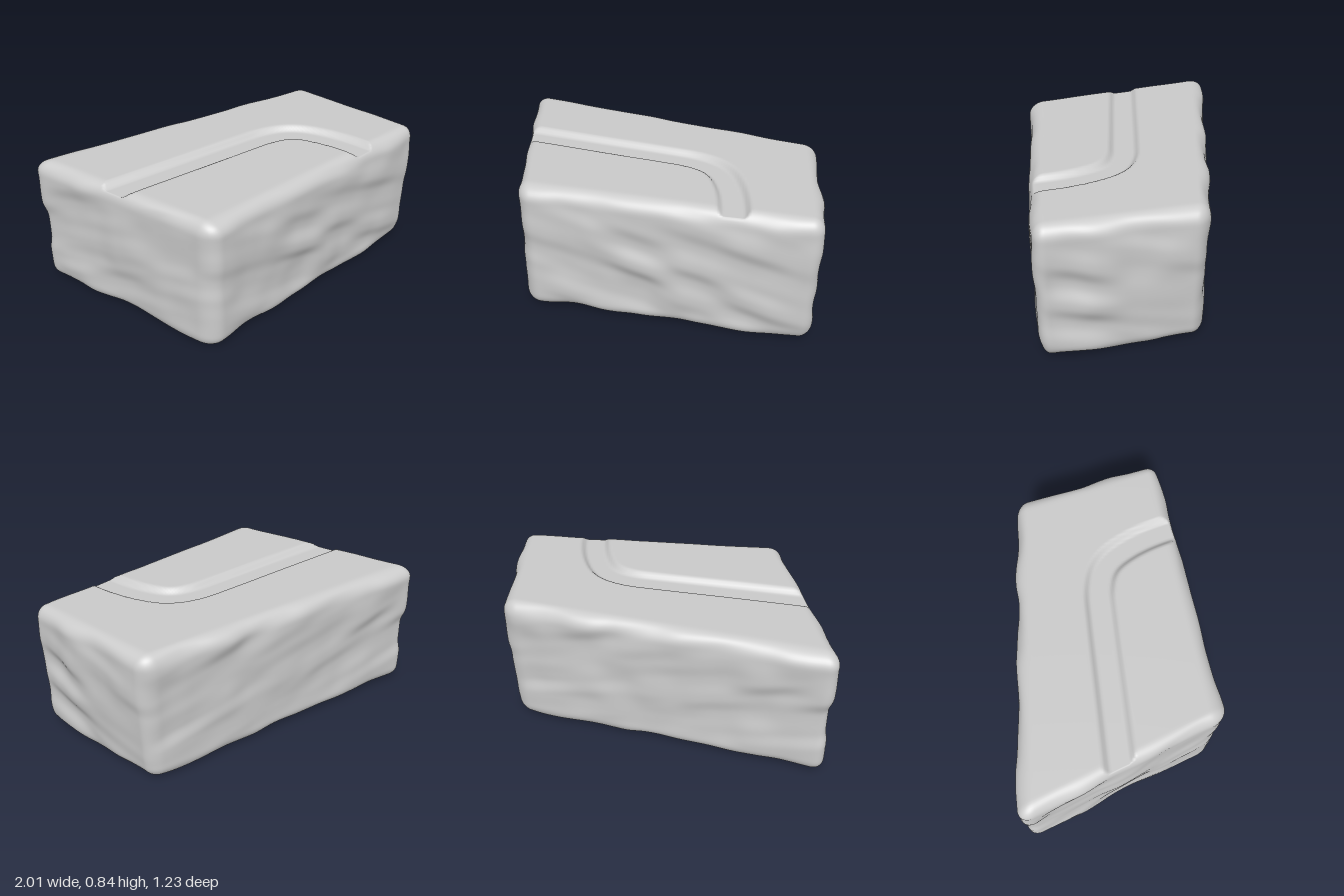
import * as THREE from 'three';
import { mergeVertices } from 'three/addons/utils/BufferGeometryUtils.js';

const HEIGHT = 0.84, BASE = 0.014, RADIUS = 0.08;
const HALF = new THREE.Vector3(0.92, (HEIGHT - BASE) / 2, 0.53);

// Plan corners of the skewed block as [x, z]
const BACK_LEFT = [-1.03, -0.625], BACK_RIGHT = [0.88, -0.345];
const FRONT_LEFT = [-0.675, 0.595], FRONT_RIGHT = [1.005, 0.545];

// Centre line of the channel in the top, as (x, z)
const channelPath = new THREE.SplineCurve([
  [-1.1, -0.06], [-0.5, -0.015], [0, 0.02], [0.22, 0.045], [0.36, 0.115],
  [0.45, 0.26], [0.51, 0.46], [0.54, 0.7],
].map(([x, z]) => new THREE.Vector2(x, z))).getPoints(70);

// Smooth seeded value noise in the range -1 to 1
function hash(x, y, z) {
  let h = Math.imul(x, 374761393) ^ Math.imul(y, 668265263) ^ Math.imul(z, 2147483647 - 9176);
  h = Math.imul(h ^ (h >>> 13), 1274126177);
  return ((h ^ (h >>> 16)) >>> 0) / 2147483648 - 1;
}
function noise(x, y, z) {
  const ix = Math.floor(x), iy = Math.floor(y), iz = Math.floor(z);
  const ease = (t) => t * t * t * (t * (t * 6 - 15) + 10);
  const u = ease(x - ix), v = ease(y - iy), w = ease(z - iz);
  let sum = 0;
  for (let i = 0; i < 8; i++) {
    const a = i & 1, b = (i >> 1) & 1, c = i >> 2;
    sum += hash(ix + a, iy + b, iz + c) * (a ? u : 1 - u) * (b ? v : 1 - v) * (c ? w : 1 - w);
  }
  return sum;
}

// Long, slightly slanted hewn ripples
function ripple(p) {
  const slant = p.y + 0.25 * p.x - 0.3 * p.z;
  return noise(p.x * 3 + 7, slant * 8, p.z * 3 + 3) * 0.7
    + noise(p.x * 5 + 20, p.y * 5 + 11, p.z * 5) * 0.45;
}

function distanceToChannel(x, z) {
  let best = Infinity;
  for (let i = 1; i < channelPath.length; i++) {
    const a = channelPath[i - 1], b = channelPath[i];
    const dx = b.x - a.x, dz = b.y - a.y;
    const t = THREE.MathUtils.clamp(((x - a.x) * dx + (z - a.y) * dz) / (dx * dx + dz * dz), 0, 1);
    best = Math.min(best, Math.hypot(x - a.x - dx * t, z - a.y - dz * t));
  }
  return best;
}

function skewPlan(u, v) {
  return [0, 1].map((k) => THREE.MathUtils.lerp(
    THREE.MathUtils.lerp(BACK_LEFT[k], BACK_RIGHT[k], u),
    THREE.MathUtils.lerp(FRONT_LEFT[k], FRONT_RIGHT[k], u), v));
}

function stoneGeometry() {
  const box = new THREE.BoxGeometry(HALF.x * 2, HALF.y * 2, HALF.z * 2, 136, 52, 88);
  box.deleteAttribute('uv');
  box.deleteAttribute('normal');
  const geometry = mergeVertices(box, 1e-5);
  const pos = geometry.attributes.position;
  const inner = HALF.clone().subScalar(RADIUS);
  const p = new THREE.Vector3(), core = new THREE.Vector3(), n = new THREE.Vector3();
  for (let i = 0; i < pos.count; i++) {
    // Round the edges
    p.fromBufferAttribute(pos, i);
    core.copy(p).clamp(inner.clone().negate(), inner);
    n.copy(p).sub(core).normalize();
    p.copy(core).addScaledVector(n, RADIUS);

    // Skew the plan into an irregular four-sided outline
    const [x, z] = skewPlan((p.x / HALF.x + 1) / 2, (p.z / HALF.z + 1) / 2);
    p.set(x, p.y + HALF.y + BASE, z);

    // Ripple the sides and underside, keep the top flat
    const d = ripple(p) * 0.024;
    p.x += n.x * d;
    p.z += n.z * d;
    if (n.y < 0) p.y = Math.max(0, p.y + n.y * d);

    // Press the channel into the top
    if (p.y > HEIGHT - 0.06) {
      const wall = 1 - THREE.MathUtils.smoothstep(distanceToChannel(p.x, p.z), 0.055, 0.095);
      p.y = Math.min(p.y, HEIGHT - 0.032 * wall);
    }
    pos.setXYZ(i, p.x, p.y, p.z);
  }
  geometry.computeVertexNormals();
  return geometry;
}

export function createModel() {
  const group = new THREE.Group();
  group.name = 'channelStone';
  const stone = new THREE.Mesh(stoneGeometry(), new THREE.MeshStandardMaterial({ color: 0xcccccc }));
  stone.name = 'stoneBlock';
  group.add(stone);
  return group;
}
